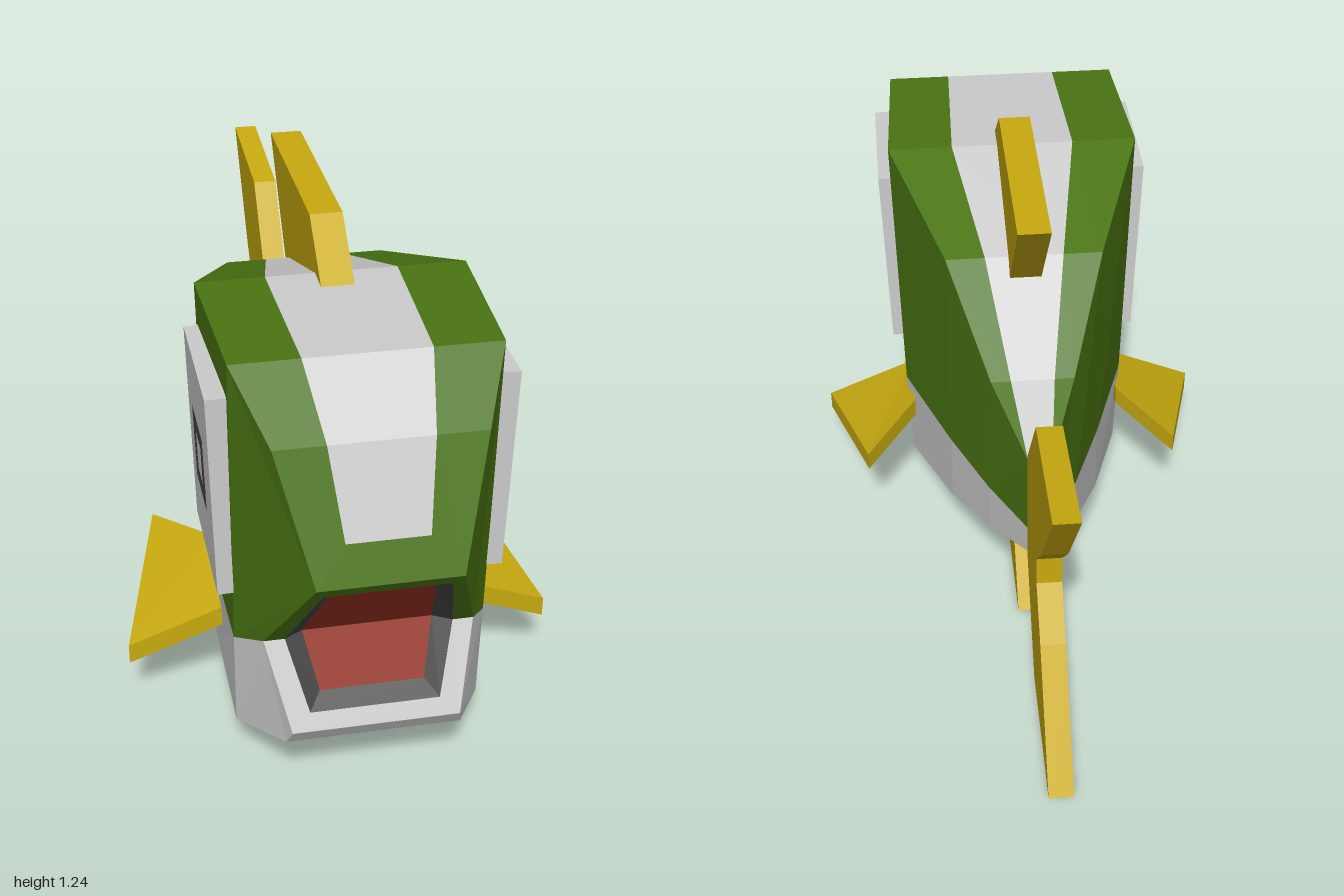
import * as THREE from 'three';

const mat = (color) => new THREE.MeshStandardMaterial({ color, flatShading: true });
const green = mat(0x4a7412), grey = mat(0xcccccc), yellow = mat(0xc8aa10);
const dark = mat(0x484848), red = mat(0x953222);

const flip = ([x, y, z]) => [-x, y, z];

// Flat polygons (convex fans), each turned to face away from the centre
function facets(name, polygons, material, centre = [0, 0.6, 0.2]) {
  const pos = [], c = new THREE.Vector3(...centre);
  for (const poly of polygons) {
    const p = poly.map((q) => new THREE.Vector3(...q));
    const mid = p.reduce((s, q) => s.add(q), new THREE.Vector3()).divideScalar(p.length).sub(c);
    const n = new THREE.Vector3();
    for (let i = 1; i < p.length - 1; i++)
      n.add(p[i].clone().sub(p[0]).cross(p[i + 1].clone().sub(p[0])));
    if (n.dot(mid) < 0) p.reverse();
    for (let i = 1; i < p.length - 1; i++)
      for (const q of [p[0], p[i], p[i + 1]]) pos.push(q.x, q.y, q.z);
  }
  const g = new THREE.BufferGeometry();
  g.setAttribute('position', new THREE.Float32BufferAttribute(pos, 3));
  g.computeVertexNormals();
  const mesh = new THREE.Mesh(g, material);
  mesh.name = name;
  return mesh;
}

const both = (polys) => polys.concat(polys.map((p) => p.map(flip)));
const strip = (a, b) => a.slice(1).map((_, i) => [a[i], a[i + 1], b[i + 1], b[i]]);
const across = (row) => strip(row, row.map(flip));

// Flat fin: side outline in (z, y), given thickness in x
function fin(name, outline, thickness) {
  const shape = new THREE.Shape(outline.map(([z, y]) => new THREE.Vector2(z, y)));
  const g = new THREE.ExtrudeGeometry(shape, { depth: thickness, bevelEnabled: false });
  g.translate(0, 0, -thickness / 2).rotateY(-Math.PI / 2);
  const mesh = new THREE.Mesh(g, yellow);
  mesh.name = name;
  return mesh;
}

// Half of the mouth: lip, dark slanted rim and red floor, nested around the hinge line
function mouthHalf(name, rings, slope, lipMaterial) {
  const group = new THREE.Group();
  group.name = name;
  const loops = rings.map(([half, y, hinge], i) => {
    const sink = i === 2 ? 0.025 : 0;
    const edge = [half, y, 0.8 + (y - 0.42) * slope - sink];
    const base = [hinge, 0.42, 0.8 - sink];
    return [base, edge, flip(edge), flip(base)];
  });
  group.add(
    facets('lip', strip(loops[0], loops[1]), lipMaterial),
    facets('mouthRim', strip(loops[1], loops[2]), dark),
    facets('mouthFloor', [loops[2]], red));
  return group;
}

// Eye: tilted plate with a square ring on its outer face (side = 1 or -1)
function eye(side) {
  const group = new THREE.Group();
  group.name = side > 0 ? 'leftEye' : 'rightEye';
  const plate = new THREE.Mesh(new THREE.BoxGeometry(0.05, 0.52, 0.36), grey);
  plate.name = 'eyePlate';
  const square = (path, h, w) =>
    path.moveTo(-w, -h).lineTo(w, -h).lineTo(w, h).lineTo(-w, h).closePath();
  const shape = square(new THREE.Shape(), 0.096, 0.085);
  shape.holes.push(square(new THREE.Path(), 0.05, 0.038));
  const ring = new THREE.Mesh(new THREE.ShapeGeometry(shape), dark);
  ring.name = 'pupil';
  ring.rotation.y = side * Math.PI / 2;
  ring.position.set(side * 0.027, 0.005, 0);
  group.add(plate, ring);
  group.position.set(side * 0.325, 0.76, 0.53);
  group.rotation.z = -side * 0.032;
  return group;
}

// Side fin: sloping four-cornered slab
function sideFin(side) {
  const top = [[0.29, 0.3, 0.485], [0.54, 0.2, 0.475], [0.43, 0.308, 0.055], [0.29, 0.345, 0.24]]
    .map(([x, y, z]) => [side * x, y, z]);
  const low = top.map(([x, y, z]) => [x, y - 0.053, z]);
  const walls = top.map((p, i) => [p, top[(i + 1) % 4], low[(i + 1) % 4], low[i]]);
  const name = side > 0 ? 'leftSideFin' : 'rightSideFin';
  return facets(name, [top, low, ...walls], yellow, [side * 0.39, 0.262, 0.31]);
}

export function createModel() {
  const model = new THREE.Group();

  // Rows of body corners, nose to tail: half width, height, z
  const stripe = [[0.095, 0.78, 0.963], [0.12, 0.98, 0.88], [0.147, 1.113, 0.73],
    [0.16, 1.12, 0.33], [0.1, 1.0, -0.02], [0.055, 0.785, -0.255], [0.03, 0.69, -0.45]];
  const shoulder = [[0.165, 0.69, 1], [0.24, 0.98, 0.88], [0.31, 1.113, 0.73],
    [0.328, 1.12, 0.33], [0.2, 1.0, -0.02], [0.105, 0.785, -0.255], [0.03, 0.69, -0.45]];
  const waist = [[0.25, 0.42, 0.8], [0.305, 0.365, 0.7], [0.31, 0.36, 0.33],
    [0.2, 0.407, -0.02], [0.115, 0.438, -0.255], [0.03, 0.465, -0.45]];
  const keel = [[0.2, 0.22, 0.9], [0.21, 0.172, 0.87], [0.302, 0.108, 0.69],
    [0.3, 0.1, 0.33], [0.2, 0.205, -0.02], [0.115, 0.302, -0.255], [0.03, 0.385, -0.45]];

  // Green upper body with a pale back stripe
  const nose = [stripe[0], shoulder[0], flip(shoulder[0]), flip(stripe[0])];
  const cheek = [shoulder[0], shoulder[1], shoulder[2], waist[1], waist[0]];
  model.add(
    facets('upperBody', [nose, ...both([
      ...strip(stripe, shoulder), cheek,
      ...strip(shoulder.slice(2), waist.slice(1))])], green),
    facets('backStripe', across(stripe), grey));

  // Pale lower jaw and belly
  const jaw = [waist[0], waist[1], keel[2], keel[1], keel[0]];
  model.add(facets('belly', [
    ...both([jaw, ...strip(waist.slice(1), keel.slice(2))]), ...across(keel)], grey));

  // Rear end of the body
  const rear = (a, b) => [[a, b, flip(b), flip(a)]];
  model.add(facets('upperRear', rear(shoulder[6], waist[5]), green),
    facets('lowerRear', rear(waist[5], keel[6]), grey));

  // Open mouth
  model.add(
    mouthHalf('upperMouth', [[0.165, 0.69, 0.25], [0.145, 0.655, 0.2], [0.12, 0.63, 0.155]],
      0.2 / 0.27, green),
    mouthHalf('lowerMouth', [[0.2, 0.22, 0.25], [0.155, 0.26, 0.2], [0.125, 0.29, 0.155]],
      -0.5, grey));

  for (const side of [1, -1]) model.add(eye(side), sideFin(side));

  // Fins on the centre line
  model.add(
    fin('backFin', [[0.41, 1.115], [0.26, 1.24], [-0.285, 1.24], [-0.05, 0.95], [0.3, 1.05]], 0.08),
    fin('bellyFin', [[0.4, 0.1], [0.26, 0], [-0.285, 0], [-0.07, 0.26], [0.3, 0.18]], 0.08),
    fin('tailFin', [[-0.44, 0.695], [-0.64, 0.955], [-1, 0.99], [-0.79, 0.7], [-0.68, 0.58],
      [-0.68, 0.5], [-0.78, 0.39], [-1, 0.093], [-0.64, 0.125], [-0.44, 0.385]], 0.062));

  return model;
}
